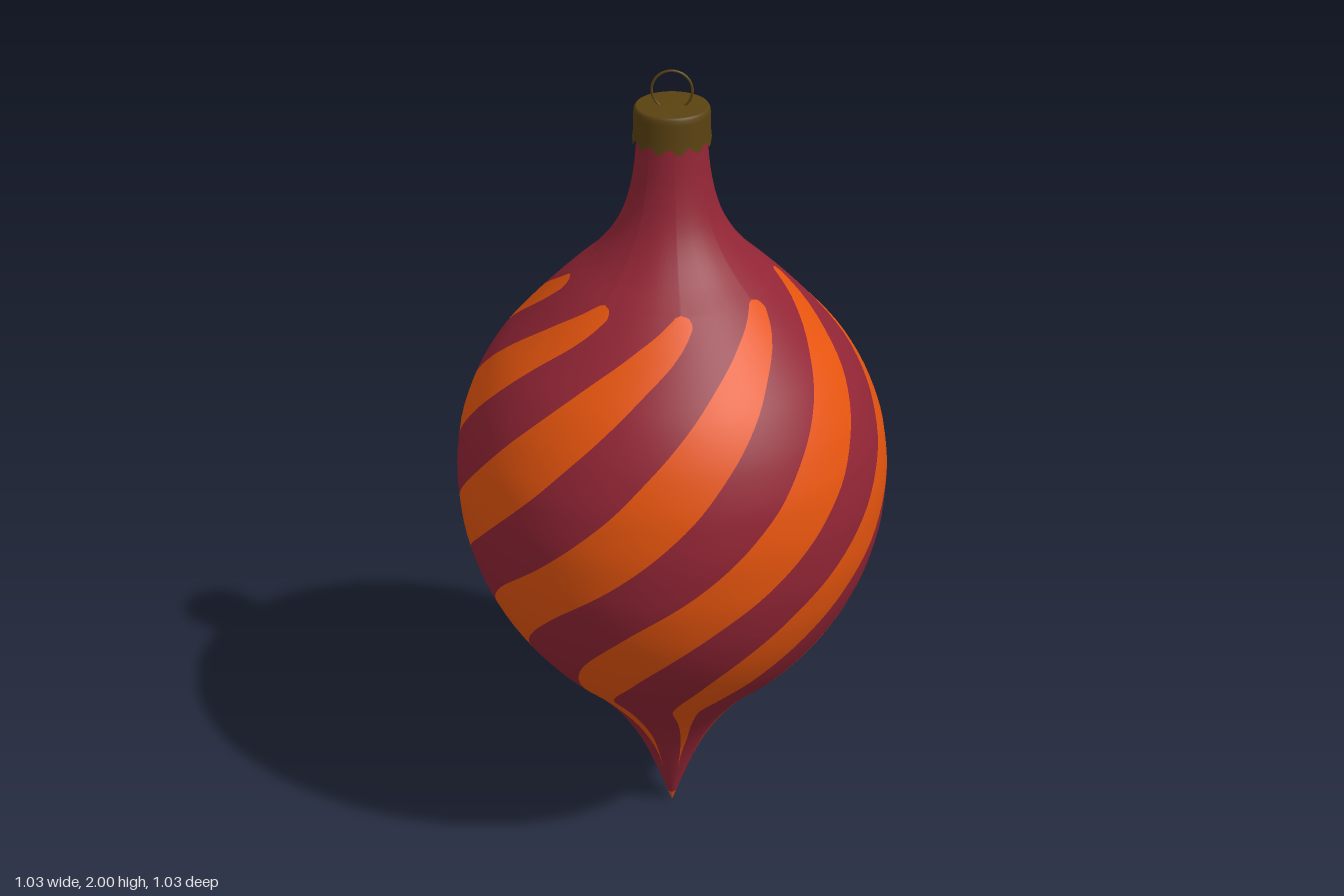
import * as THREE from 'three';

const rad = THREE.MathUtils.degToRad;

// Monotone cubic interpolation through [x, value] points with rising x
function smoothCurve(pts) {
  const n = pts.length;
  const slope = [];
  for (let i = 0; i < n - 1; i++) slope.push((pts[i + 1][1] - pts[i][1]) / (pts[i + 1][0] - pts[i][0]));
  const m = pts.map((_, i) => {
    if (i === 0) return slope[0];
    if (i === n - 1) return slope[n - 2];
    const a = slope[i - 1], b = slope[i];
    return a * b <= 0 ? 0 : (2 * a * b) / (a + b);
  });
  return (x) => {
    let i = 0;
    while (i < n - 2 && x > pts[i + 1][0]) i++;
    const h = pts[i + 1][0] - pts[i][0];
    const t = THREE.MathUtils.clamp((x - pts[i][0]) / h, 0, 1);
    const t2 = t * t, t3 = t2 * t;
    return (2 * t3 - 3 * t2 + 1) * pts[i][1] + (t3 - 2 * t2 + t) * h * m[i]
      + (3 * t2 - 2 * t3) * pts[i + 1][1] + (t3 - t2) * h * m[i + 1];
  };
}

// Body radius by height
const radiusAt = smoothCurve([
  [0, 0], [0.1, 0.036], [0.2, 0.077], [0.3, 0.135], [0.4, 0.215], [0.5, 0.315], [0.6, 0.393],
  [0.7, 0.45], [0.8, 0.488], [0.9, 0.509], [1.0, 0.515], [1.1, 0.505], [1.2, 0.475], [1.3, 0.422],
  [1.4, 0.338], [1.5, 0.24], [1.55, 0.186], [1.6, 0.145], [1.65, 0.117], [1.7, 0.1], [1.76, 0.088],
  [1.82, 0.082], [1.88, 0.079],
]);

// Stripe edges by height: [y, left degrees, right degrees]
const STRIPE_TOP = 1.504, STRIPE_END = 0.14, NOSE = 0.03;
const stripe = [
  [0, -122.5, -121.5], [STRIPE_END, -122.5, -121.5], [0.25, -128, -120], [0.34, -134, -123],
  [0.44, -139.5, -124.5], [0.6, -129, -109], [0.8, -107, -85], [0.95, -86, -64], [1.1, -68, -46],
  [1.23, -54, -32], [1.36, -36.5, -15.5], [1.44, -20, -1], [1.469, -12, 3.6], [1.485, -7.5, 5.6],
  [1.497, -4, 4.5], [1.501, -2.8, 3], [STRIPE_TOP, -0.5, 0.5], [1.88, -0.5, 0.5],
];
const leftEdge = smoothCurve(stripe.map(([y, l]) => [y, l]));
const rightEdge = smoothCurve(stripe.map(([y, , r]) => [y, r]));

// Body grid whose columns follow the edges of the eight twisting stripes
function bodyGeometry() {
  const STRIPES = 8, IN = 4, GAP = 5, START = 9.5;
  const rows = [0];
  const addRows = (to, count) => {
    const from = rows[rows.length - 1];
    for (let i = 1; i <= count; i++) rows.push(from + ((to - from) * i) / count);
  };
  addRows(NOSE, 2);
  addRows(STRIPE_END, 6);
  addRows(1.44, 64);
  addRows(1.497, 12);
  addRows(STRIPE_TOP, 6);
  addRows(1.88, 24);

  const columns = STRIPES * (IN + GAP);
  const position = [], red = [], orange = [];
  for (const y of rows) {
    const r = radiusAt(y), left = leftEdge(y), right = rightEdge(y);
    for (let s = 0; s < STRIPES; s++) {
      for (let k = 0; k < IN + GAP; k++) {
        const angle = k < IN
          ? left + ((right - left) * k) / IN
          : right + ((left + 45 - right) * (k - IN)) / GAP;
        const a = rad(START + 45 * s + angle);
        position.push(r * Math.sin(a), y, r * Math.cos(a));
      }
    }
  }
  for (let i = 0; i < rows.length - 1; i++) {
    const mid = (rows[i] + rows[i + 1]) / 2;
    for (let j = 0; j < columns; j++) {
      const a = i * columns + j, b = i * columns + ((j + 1) % columns);
      const c = b + columns, d = a + columns;
      const inStripe = j % (IN + GAP) < IN && mid < STRIPE_TOP && mid > STRIPE_END;
      (inStripe || mid < NOSE ? orange : red).push(a, b, d, b, c, d);
    }
  }
  const geometry = new THREE.BufferGeometry();
  geometry.setAttribute('position', new THREE.Float32BufferAttribute(position, 3));
  geometry.setIndex([...red, ...orange]);
  geometry.addGroup(0, red.length, 0);
  geometry.addGroup(red.length, orange.length, 1);
  geometry.computeVertexNormals();
  return geometry;
}

// Cap with a wavy lower rim
function capGeometry() {
  const profile = [
    [0.09, 1.836], [0.088, 1.86], [0.0875, 1.9], [0.086, 1.91], [0.083, 1.915], [0.08, 1.916], [0, 1.916],
  ].map(([r, y]) => new THREE.Vector2(r, y));
  const geometry = new THREE.LatheGeometry(profile, 72);
  const p = geometry.attributes.position;
  for (let i = 0; i < p.count; i++) {
    if (p.getY(i) < 1.84) {
      const a = Math.atan2(p.getX(i), p.getZ(i));
      p.setY(i, p.getY(i) + 0.008 * Math.cos(12 * a));
    }
  }
  return geometry;
}

export function createModel() {
  const red = new THREE.MeshStandardMaterial({ color: 0x922535 });
  red.name = 'deep red';
  const orange = new THREE.MeshStandardMaterial({ color: 0xe5540e });
  orange.name = 'orange';
  const brass = new THREE.MeshStandardMaterial({ color: 0x5a4211, side: THREE.DoubleSide });
  brass.name = 'dark brass';

  const group = new THREE.Group();
  group.name = 'ornament';
  const add = (name, geometry, material) => {
    const mesh = new THREE.Mesh(geometry, material);
    mesh.name = name;
    group.add(mesh);
    return mesh;
  };

  add('stripedBody', bodyGeometry(), [red, orange]);
  add('cap', capGeometry(), brass);
  add('hangingRing', new THREE.TorusGeometry(0.046, 0.003, 8, 40), brass).position.y = 1.951;
  return group;
}
